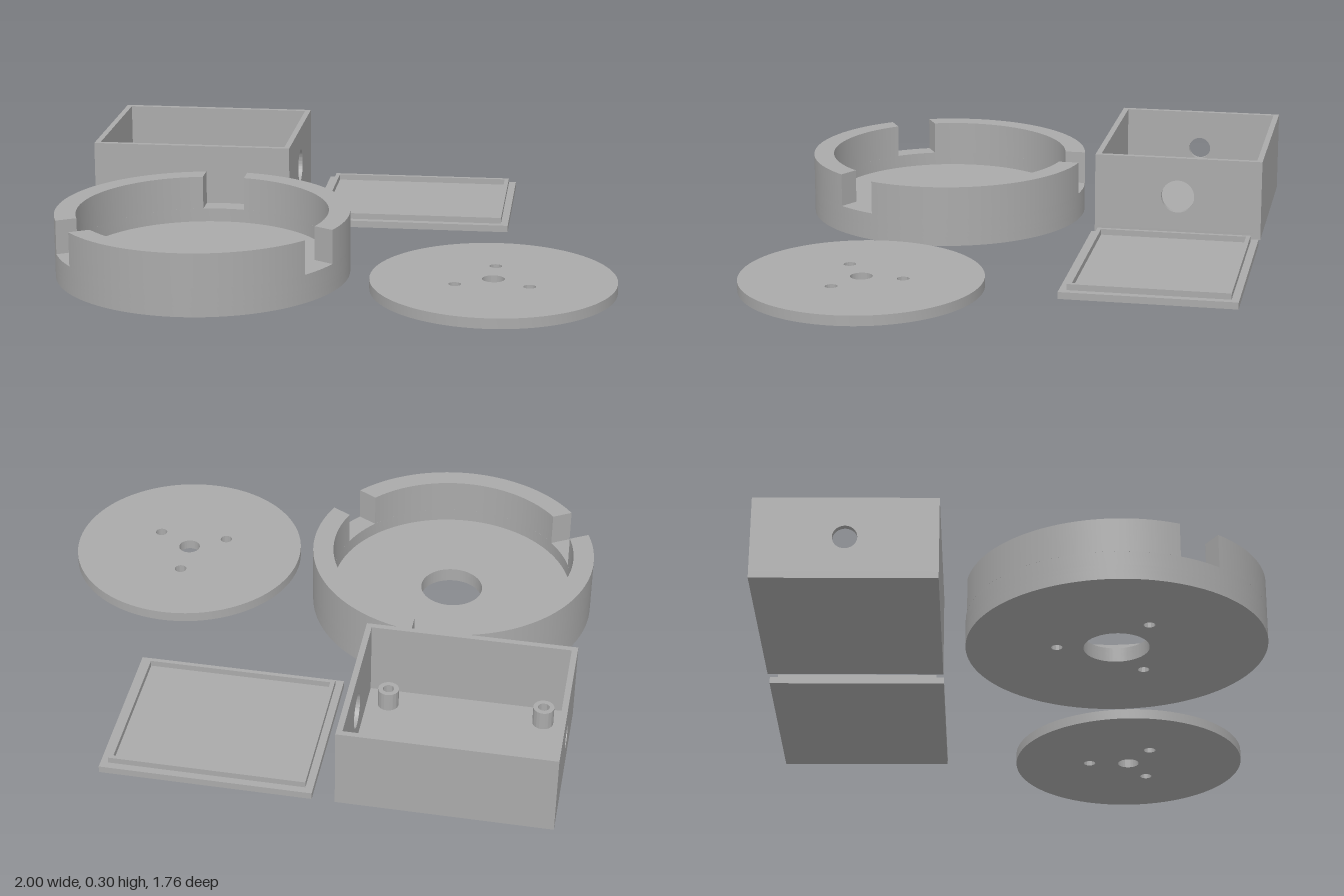
import * as THREE from 'three';
import { toCreasedNormals } from 'three/addons/utils/BufferGeometryUtils.js';

const grey = new THREE.MeshStandardMaterial({ color: 0xaaaaaa });
grey.name = 'plain grey';

const SEG = 64;
const THIRDS = [90, 210, 330].map(THREE.MathUtils.degToRad);

function mesh(name, geometry, parent, x = 0, y = 0, z = 0) {
  const m = new THREE.Mesh(geometry, grey);
  m.name = name;
  m.position.set(x, y, z);
  parent.add(m);
  return m;
}

function group(name, parent, x, z) {
  const g = new THREE.Group();
  g.name = name;
  g.position.set(x, 0, z);
  parent.add(g);
  return g;
}

function circle(r, x = 0, y = 0, Type = THREE.Shape) {
  const s = new Type();
  s.absarc(x, y, r, 0, Math.PI * 2, false);
  return s;
}

// three hole paths spaced evenly around a centre
const boltHoles = (dist, r) =>
  THIRDS.map(a => circle(r, dist * Math.cos(a), dist * Math.sin(a), THREE.Path));

function rectangle(w, h, Type = THREE.Shape) {
  const s = new Type();
  s.moveTo(-w / 2, -h / 2);
  s.lineTo(w / 2, -h / 2);
  s.lineTo(w / 2, h / 2);
  s.lineTo(-w / 2, h / 2);
  s.closePath();
  return s;
}

function extrude(shape, depth, holes = []) {
  shape.holes.push(...holes);
  const g = new THREE.ExtrudeGeometry(shape, { depth, bevelEnabled: false, curveSegments: SEG });
  return toCreasedNormals(g, 0.5);
}

// lays a shape flat and extrudes it upward
const slab = (shape, height, holes) => extrude(shape, height, holes).rotateX(-Math.PI / 2);

export function createModel() {
  const model = new THREE.Group();
  model.name = 'enclosureParts';

  // Round housing: floor with blind holes underneath, wall with three notches
  const R = 0.525, r = 0.449, notch = 0.0775;
  const housing = group('roundHousing', model, -0.475, 0.352);
  const centreHole = () => circle(0.115, 0, 0, THREE.Path);
  mesh('housingBase', slab(circle(R), 0.035, [centreHole(), ...boltHoles(0.208, 0.02)]), housing);
  mesh('housingFloor', slab(circle(R), 0.017, [centreHole()]), housing, 0, 0.035);
  mesh('housingLowerWall', slab(circle(R), 0.05, [circle(r, 0, 0, THREE.Path)]), housing, 0, 0.052);
  const outerGap = Math.asin(notch / R), innerGap = Math.asin(notch / r);
  for (const a of THIRDS) {
    const b = a + Math.PI * 2 / 3;
    const s = new THREE.Shape();
    s.absarc(0, 0, R, a + outerGap, b - outerGap, false);
    s.absarc(0, 0, r, b - innerGap, a + innerGap, true);
    s.closePath();
    mesh('housingWallSegment', slab(s, 0.123), housing, 0, 0.102);
  }

  // Flat cover disc
  const cover = group('coverDisc', model, 0.567, 0.445);
  mesh('disc', slab(circle(0.433), 0.037,
    [circle(0.04, 0, 0, THREE.Path), ...boltHoles(0.15, 0.022)]), cover);

  // Open box
  const W = 0.75, D = 0.625, H = 0.3, T = 0.021, F = 0.025;
  const box = group('box', model, -0.625, -0.567);
  mesh('boxFloor', new THREE.BoxGeometry(W, F, D), box, 0, F / 2);
  for (const side of [1, -1]) {
    mesh(side > 0 ? 'boxFrontWall' : 'boxBackWall',
      new THREE.BoxGeometry(W, H - F, T), box, 0, (H + F) / 2, side * (D - T) / 2);
    // side walls, each with a round opening
    const opening = circle(side > 0 ? 0.062 : 0.042, 0, 0.152 - (H + F) / 2, THREE.Path);
    const wall = extrude(rectangle(D - 2 * T, H - F), T, [opening]).rotateY(Math.PI / 2);
    mesh(side > 0 ? 'boxLeftWall' : 'boxRightWall', wall, box,
      side * (W / 2) - (side > 0 ? T : 0), (H + F) / 2, 0);
    // screw posts
    for (const end of [1, -1]) {
      mesh('screwPost', slab(circle(0.037), 0.07, [circle(0.02, 0, 0, THREE.Path)]),
        box, side * 0.277, F, end * 0.214);
    }
  }

  // Box lid with a raised locating lip
  const lid = group('boxLid', model, 0.205, -0.567);
  mesh('lidPlate', new THREE.BoxGeometry(W, F, D), lid, 0, F / 2);
  mesh('lidLip', slab(rectangle(W - 0.054, D - 0.054), 0.022,
    [rectangle(W - 0.086, D - 0.086, THREE.Path)]), lid, 0, F);

  return model;
}
